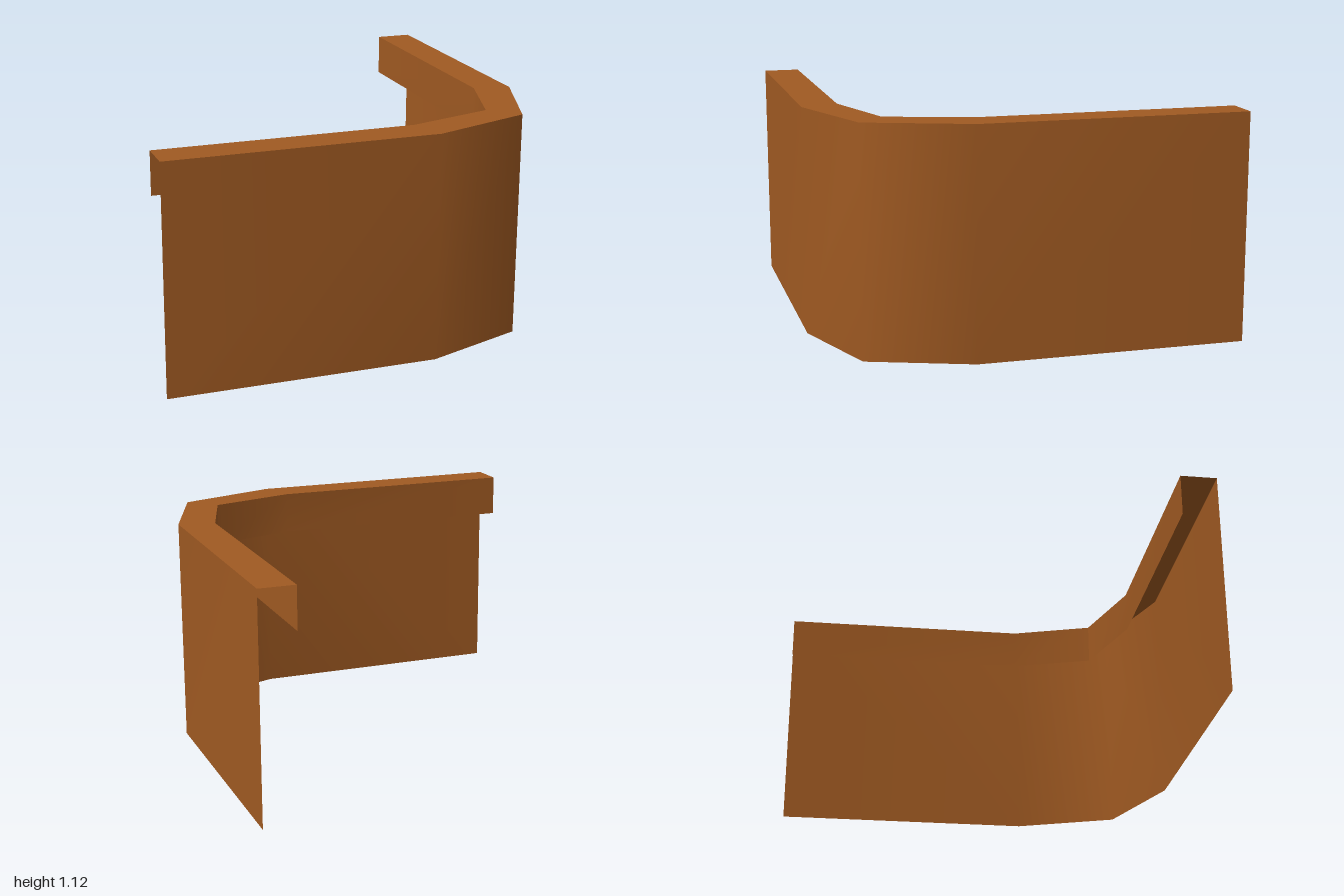
import * as THREE from 'three';

const HEIGHT = 1.12;
const LIP_BOTTOM = 0.91;

// Plan outlines as [x, z], running along the front and then back along the left side
const OUTER = [[-1, 1], [0.32, 1], [0.82, 0.82], [1, 0.32], [1, -1]];
const INNER = [[-1, 0.82], [0.26, 0.82], [0.69, 0.69], [0.82, 0.28], [0.82, -1]];

// Smooth sheet joining two edges; it faces the viewer when edge a is below edge b
function sheet(name, a, ya, b, yb, material) {
  const positions = [];
  const index = [];
  a.forEach(([x, z], i) => {
    positions.push(x, ya, z, b[i][0], yb, b[i][1]);
    if (i > 0) {
      const p = 2 * (i - 1);
      index.push(p, p + 2, p + 3, p, p + 3, p + 1);
    }
  });
  const geometry = new THREE.BufferGeometry();
  geometry.setAttribute('position', new THREE.Float32BufferAttribute(positions, 3));
  geometry.setIndex(index);
  geometry.computeVertexNormals();
  const mesh = new THREE.Mesh(geometry, material);
  mesh.name = name;
  return mesh;
}

export function createModel() {
  const group = new THREE.Group();
  group.name = 'cornerPanel';
  const brown = new THREE.MeshStandardMaterial({ color: 0xa05a22, side: THREE.DoubleSide });
  brown.name = 'rust brown';

  // Tall outer wall wrapped round the corner
  group.add(sheet('outerWall', OUTER, 0, OUTER, HEIGHT, brown));

  // Flat rim folded inwards
  group.add(sheet('topRim', OUTER, HEIGHT, INNER, HEIGHT, brown));

  // Short lip hanging from the rim, creased at the middle of the corner
  const inward = [...INNER].reverse();
  const frontLip = inward.slice(2);
  const sideLip = inward.slice(0, 3);
  group.add(sheet('frontLip', frontLip, LIP_BOTTOM, frontLip, HEIGHT, brown));
  group.add(sheet('sideLip', sideLip, LIP_BOTTOM, sideLip, HEIGHT, brown));

  return group;
}
